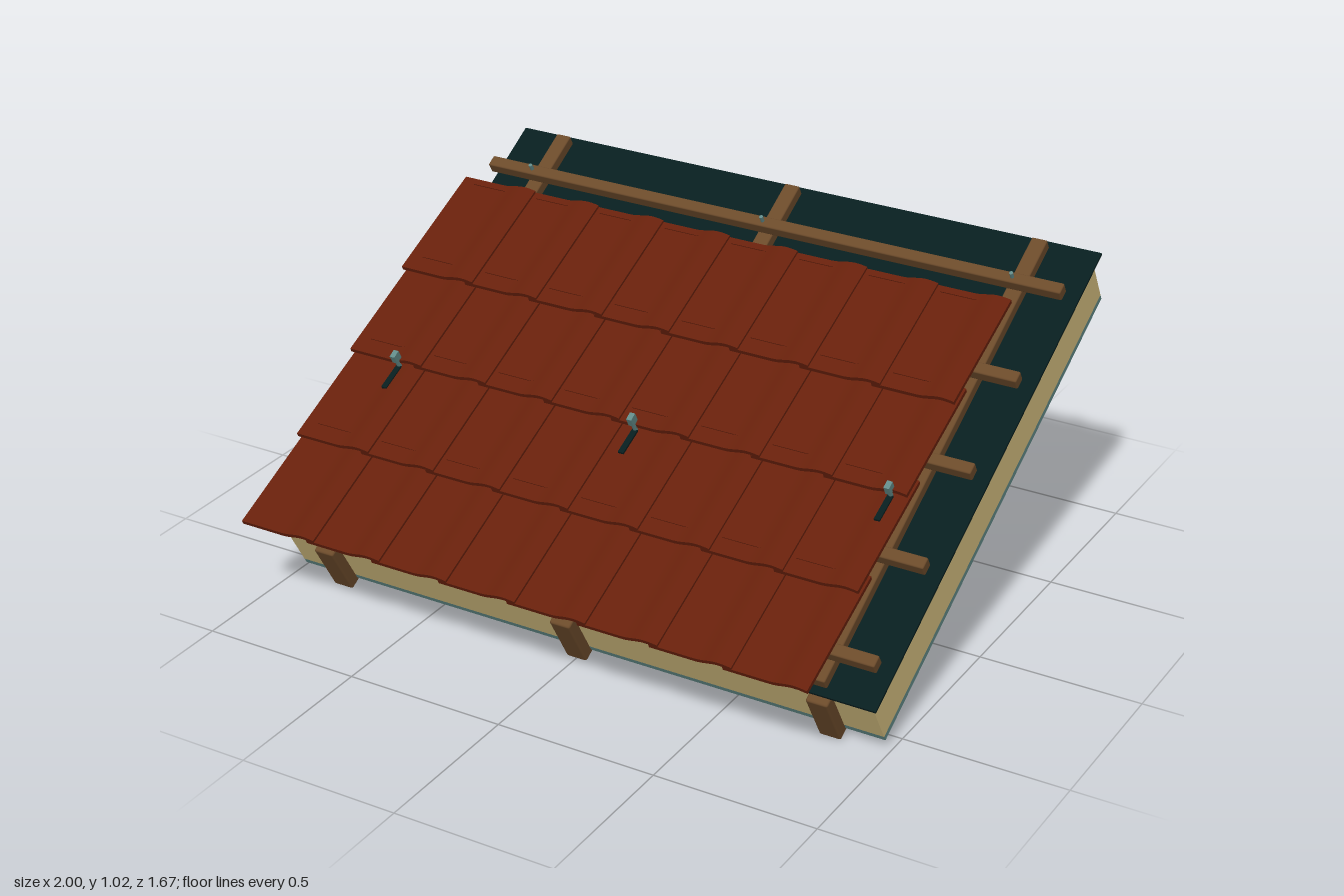
import * as THREE from 'three';
import { toCreasedNormals } from 'three/addons/utils/BufferGeometryUtils.js';
import { RoundedBoxGeometry } from 'three/addons/geometries/RoundedBoxGeometry.js';

const flat = (name, color) => {
  const m = new THREE.MeshStandardMaterial({ color });
  m.name = name;
  return m;
};

const RAFTERS = [-0.825, 0, 0.823];
const BATTEN_STEP = 0.326;
const TILE = { width: 0.26, pitch: 0.2305, length: 0.4, thick: 0.013 };
const TILE_TILT = -0.085;

// Height of a tile's roll: flat pan, then a low roll cut off at the right edge
function rise(x) {
  const d = Math.abs(x - 0.222) / 0.08;
  return d < 1 ? 0.014 * Math.cos((d * Math.PI) / 2) ** 2 : 0;
}

// Tile cross-section swept up the slope
function tileGeometry() {
  const N = 20;
  const top = [], bottom = [];
  for (let i = 0; i <= N; i++) {
    const x = (i / N) * TILE.width;
    bottom.push(new THREE.Vector2(x, rise(x)));
    top.unshift(new THREE.Vector2(x, rise(x) + TILE.thick));
  }
  const geo = new THREE.ExtrudeGeometry(new THREE.Shape([...bottom, ...top]), {
    depth: TILE.length, bevelEnabled: false, steps: 1,
  });
  geo.translate(0, 0, -TILE.length);
  return toCreasedNormals(geo, 0.6);
}

export function createModel() {
  const wood = flat('wood', 0x6b4a2a);
  const insulationMat = flat('insulation', 0xd5bf80);
  const liningMat = flat('lining', 0x628a88);
  const membraneMat = flat('membrane', 0x071e1f);
  const clay = flat('clay', 0x67200b);
  const metal = flat('metal', 0x628a88);

  const model = new THREE.Group();
  model.name = 'roofSection';

  // Sloped frame: y is the roof normal, -z runs up the slope
  const roof = new THREE.Group();
  roof.name = 'slopedRoof';
  roof.rotation.x = Math.PI / 6;
  roof.position.z = 0.59;
  model.add(roof);

  // Box given by x centre, width, normal range and upslope range
  const slab = (name, mat, x, width, n0, n1, w0, w1, radius = 0) => {
    const size = [width, n1 - n0, w1 - w0];
    const geo = radius
      ? new RoundedBoxGeometry(...size, 2, radius)
      : new THREE.BoxGeometry(...size);
    const mesh = new THREE.Mesh(geo, mat);
    mesh.name = name;
    mesh.position.set(x, (n0 + n1) / 2, -(w0 + w1) / 2);
    roof.add(mesh);
    return mesh;
  };
  const pin = (name, mat, x, n0, n1, w, radius) => {
    const mesh = new THREE.Mesh(new THREE.CylinderGeometry(radius, radius, n1 - n0, 10), mat);
    mesh.name = name;
    mesh.position.set(x, (n0 + n1) / 2, -w);
    roof.add(mesh);
  };

  // Layers between and over the rafters
  slab('innerLining', liningMat, 0, 1.96, 0.012, 0.03, 0.035, 1.612);
  slab('insulation', insulationMat, 0, 1.96, 0.03, 0.181, 0.035, 1.612);
  slab('membrane', membraneMat, 0, 2, 0.196, 0.204, 0.018, 1.638);

  // Rafters and the counter battens above them
  for (const x of RAFTERS) {
    slab('rafter', wood, x, 0.068, 0, 0.184, 0, 1.65, 0.007);
    slab('counterBatten', wood, x, 0.05, 0.214, 0.25, 0.037, 1.61, 0.005);
  }

  // Cross battens with their screws
  for (let k = 0; k < 5; k++) {
    const w = 0.118 + k * BATTEN_STEP;
    slab('batten', wood, 0, 1.96, 0.262, 0.299, w - 0.019, w + 0.019, 0.005);
    for (const x of RAFTERS) pin('battenScrew', metal, x, 0.29, 0.319, w, 0.006);
  }

  // Overlapping tile rows, each lying a little flatter than the roof
  const tileGeo = tileGeometry();
  const ribGeo = new THREE.BoxGeometry(0.12, 0.006, 0.005);
  for (let row = 0; row < 4; row++) {
    const course = new THREE.Group();
    course.name = 'tileRow';
    course.position.set(0, 0.357, 0.064 - row * BATTEN_STEP);
    course.rotation.x = TILE_TILT;
    roof.add(course);
    // Fine ridges above each lap, and along the head of the top row
    const ribs = [];
    if (row > 0) ribs.push(0.055);
    if (row === 3) ribs.push(TILE.length - 0.022);
    for (let i = 0; i < 8; i++) {
      const x = -1 + i * TILE.pitch;
      const tile = new THREE.Mesh(tileGeo, clay);
      tile.name = 'tile';
      tile.position.x = x;
      course.add(tile);
      for (const w of ribs) {
        const rib = new THREE.Mesh(ribGeo, clay);
        rib.name = 'tileRib';
        rib.position.set(x + 0.105, TILE.thick, -w);
        course.add(rib);
      }
    }
  }

  // Storm clips: rod through the lap, bright head and a dark strap lying on the tile
  for (const x of RAFTERS) {
    const lift = rise((x + 1) % TILE.pitch);
    pin('stormClipRod', metal, x, 0.204, 0.4, 0.587, 0.007);
    slab('stormClipHead', metal, x, 0.017, 0.376, 0.406, 0.577, 0.603);
    const strap = slab('stormClipStrap', membraneMat, x, 0.018, 0.344 + lift, 0.353 + lift, 0.495, 0.585);
    strap.rotation.x = TILE_TILT;
  }

  return model;
}
